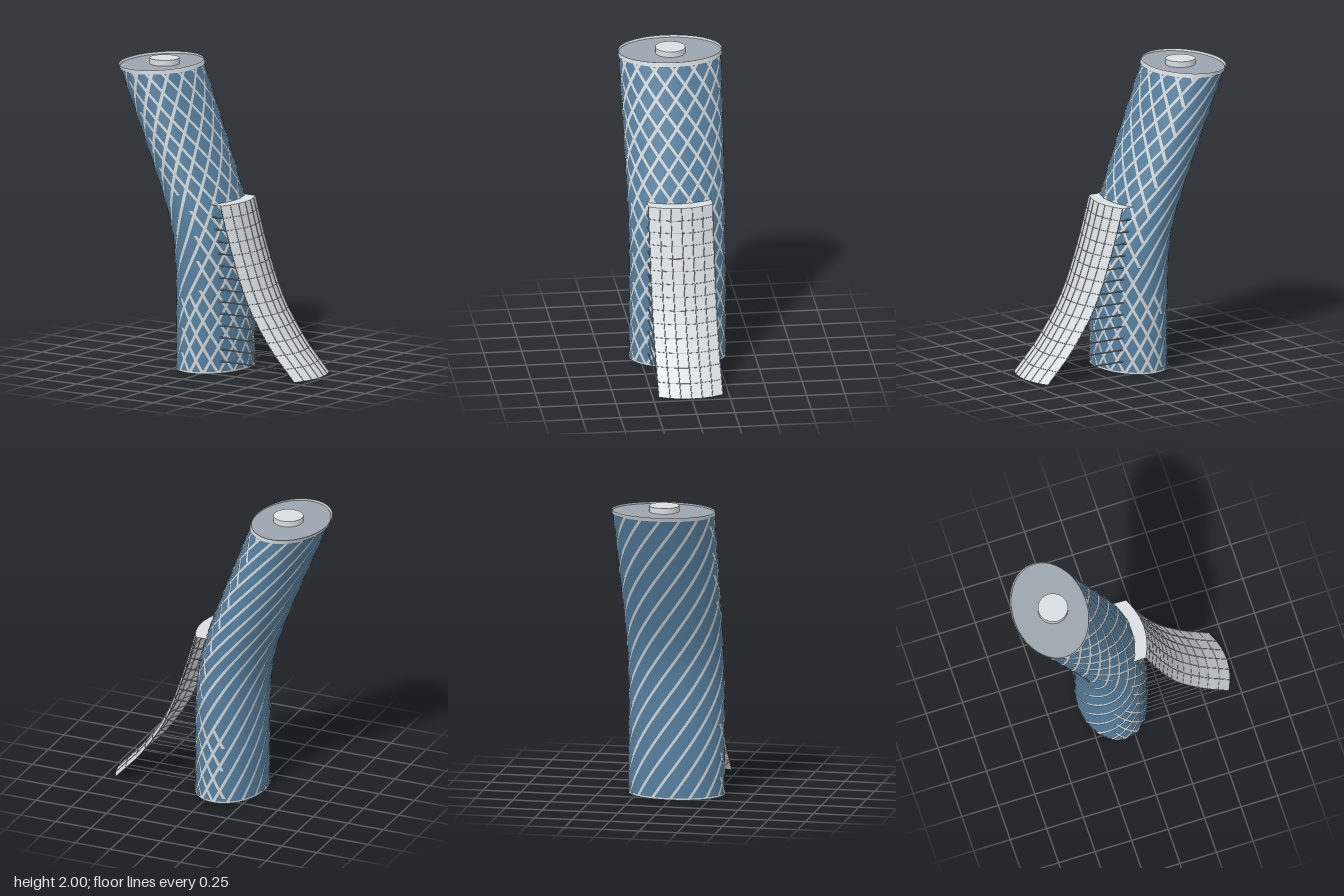
import * as THREE from 'three';

const RX = 0.227, RZ = 0.314, TOP = 1.955;

const mat = (name, color, side = THREE.FrontSide) => {
  const m = new THREE.MeshStandardMaterial({ color, side });
  m.name = name;
  return m;
};

// Axis of the tower: upright below, bending into a straight lean above
const axisX = y => -0.066 - 0.396 * 0.12 * Math.log(1 + Math.exp((y - 0.907) / 0.12));

// The tower widens slightly over its leaning half
const flare = y => 1 + 0.065 * THREE.MathUtils.clamp((y - 0.9) / 1.07, 0, 1);

// Point on the leaning elliptical tower, pushed out by d
const onTower = (a, y, d = 0) => new THREE.Vector3(
  axisX(y) + (RX * flare(y) + d) * Math.cos(a), y, (RZ * flare(y) + d) * Math.sin(a));

// Surface from a rule fn(u, v), with u and v from 0 to 1
function surface(nu, nv, fn) {
  const pos = [], idx = [];
  for (let j = 0; j <= nv; j++)
    for (let i = 0; i <= nu; i++) pos.push(...fn(i / nu, j / nv).toArray());
  for (let j = 0; j < nv; j++)
    for (let i = 0; i < nu; i++) {
      const a = j * (nu + 1) + i, b = a + nu + 1;
      idx.push(a, b, a + 1, b, b + 1, a + 1);
    }
  const g = new THREE.BufferGeometry();
  g.setAttribute('position', new THREE.Float32BufferAttribute(pos, 3));
  g.setIndex(idx);
  g.computeVertexNormals();
  return g;
}

// Closed band around the tower between two heights
const band = (y0, y1, d, rows) =>
  surface(96, rows, (u, v) => onTower(Math.PI + u * Math.PI * 2, y0 + (y1 - y0) * v, d));

// Sail: the side edge as (x, y), bowed outward across z
const sailEdge = new THREE.CatmullRomCurve3([
  [0.675, 0], [0.6, 0.08], [0.525, 0.16], [0.465, 0.237], [0.41, 0.316], [0.36, 0.396],
  [0.318, 0.475], [0.281, 0.555], [0.25, 0.634], [0.195, 0.793], [0.148, 0.95], [0.105, 1.11],
].map(([x, y]) => new THREE.Vector3(x, y, 0)));
const edgeSamples = sailEdge.getPoints(300);
const sailX = y => edgeSamples.reduce((p, q) => (Math.abs(q.y - y) < Math.abs(p.y - y) ? q : p)).x;
const SAIL_W = 0.21, SAIL_H = 1.11, ROWS = 14, COLS = 6;
const rowX = Array.from({ length: ROWS + 1 }, (_, j) => sailX((j / ROWS) * SAIL_H));
const onSail = (i, j) => {
  const t = (i / COLS) * 2 - 1;
  return new THREE.Vector3(rowX[j] + 0.055 * (1 - t * t), (j / ROWS) * SAIL_H, -t * SAIL_W);
};

// Whether a crossing brace is present at this angle and height
function braced(angle, y) {
  const a = Math.atan2(Math.sin(angle), Math.cos(angle));
  const low = y < 0.55, mid = !low && y < 1.15;
  return a > (low ? -1.9 : -1.2) && a < (mid ? 1.3 : 1.9);
}

export function createModel() {
  const model = new THREE.Group();
  model.name = 'leaningTower';
  const glass = mat('blue glass', 0x557f9f, THREE.DoubleSide);
  const frame = mat('pale metal', 0xd0d4d5, THREE.DoubleSide);
  const roofGrey = mat('roof grey', 0x9ba4ad);
  const panel = mat('canopy panel', 0xd8dee2, THREE.DoubleSide);
  const steel = mat('steel grey', 0xa0a5a8);

  const add = (name, geo, material, parent = model) => {
    const m = new THREE.Mesh(geo, material);
    m.name = name;
    parent.add(m);
    return m;
  };
  const group = name => {
    const g = new THREE.Group();
    g.name = name;
    model.add(g);
    return g;
  };

  // Straight bar between two points
  const bar = (name, a, b, r, material, parent) => {
    const m = add(name, new THREE.CylinderGeometry(r, r, a.distanceTo(b), 6), material, parent);
    m.position.copy(a).add(b).multiplyScalar(0.5);
    m.quaternion.setFromUnitVectors(new THREE.Vector3(0, 1, 0), b.clone().sub(a).normalize());
  };

  // Tower skin
  add('towerGlass', band(0, TOP, 0, 60), glass);

  // Diagonal lattice of flat ribbons: one full family, crossed by partial braces
  const lattice = group('lattice');
  const N = 16, STEPS = 60, TWIST = 4.4, HALF_WIDTH = 0.0105;
  const ribbon = (start, turn, f0, f1) => {
    const geo = surface(2, Math.round((f1 - f0) * STEPS), (u, v) => {
      const f = f0 + (f1 - f0) * v, a = start + f * turn;
      const across = HALF_WIDTH / Math.hypot(RX * Math.sin(a), RZ * Math.cos(a));
      return onTower(a + (1 - 2 * u) * across, f * TOP, 0.004);
    });
    add('latticeStrip', geo, frame, lattice);
  };
  for (let k = 0; k < N; k++) {
    const start = (k / N) * Math.PI * 2;
    ribbon(start, -TWIST, 0, 1);
    let from = -1;
    for (let s = 0; s <= STEPS + 1; s++) {
      const f = s / STEPS;
      const on = s <= STEPS && braced(start + f * TWIST, f * TOP);
      if (on && from < 0) from = s;
      if (!on && from >= 0) {
        if (s - 1 > from) ribbon(start, TWIST, from / STEPS, (s - 1) / STEPS);
        from = -1;
      }
    }
  }

  // Base ring, roof slab, rim and rooftop drum
  add('baseRing', band(0, 0.012, 0.005, 1), frame);
  const roof = add('roof', new THREE.CylinderGeometry(1, 1, 0.012, 96), roofGrey);
  roof.scale.set(RX * flare(TOP) + 0.003, 1, RZ * flare(TOP) + 0.003);
  roof.position.set(axisX(1.956), 1.956, 0);
  add('roofRim', band(1.948, 1.975, 0.006, 1), frame);
  const drum = add('rooftopDrum', new THREE.CylinderGeometry(0.098, 0.098, 0.045, 40), panel);
  drum.position.set(-0.463, 1.9775, 0);

  // Sweeping canopy skin, faceted
  const canopy = group('canopy');
  const skin = surface(COLS, ROWS, (u, v) => onSail(Math.round(u * COLS), Math.round(v * ROWS))).toNonIndexed();
  skin.computeVertexNormals();
  add('canopySkin', skin, panel, canopy);

  // Canopy mullions and transoms
  for (let j = 0; j <= ROWS; j++)
    for (let i = 0; i <= COLS; i++) {
      if (j < ROWS) bar('mullion', onSail(i, j), onSail(i, j + 1), 0.003, steel, canopy);
      if (i < COLS && j > 0 && j < ROWS) bar('transom', onSail(i, j), onSail(i + 1, j), 0.002, steel, canopy);
    }

  // Struts tying the canopy edges back to the tower
  for (let j = 1; j < ROWS; j++)
    for (const i of [0, COLS]) {
      const end = onSail(i, j);
      const start = onTower(Math.asin(end.z / RZ), end.y);
      bar('strut', start, end, 0.005, steel, canopy);
    }

  // Cap plate closing the gap between the tower and the canopy top
  add('canopyCap', surface(COLS * 2, 1, (u, v) => {
    const outer = onSail(u * COLS, ROWS);
    const inner = onTower(Math.asin(outer.z / RZ), SAIL_H);
    return inner.lerp(outer, v);
  }), panel, canopy);

  return model;
}
